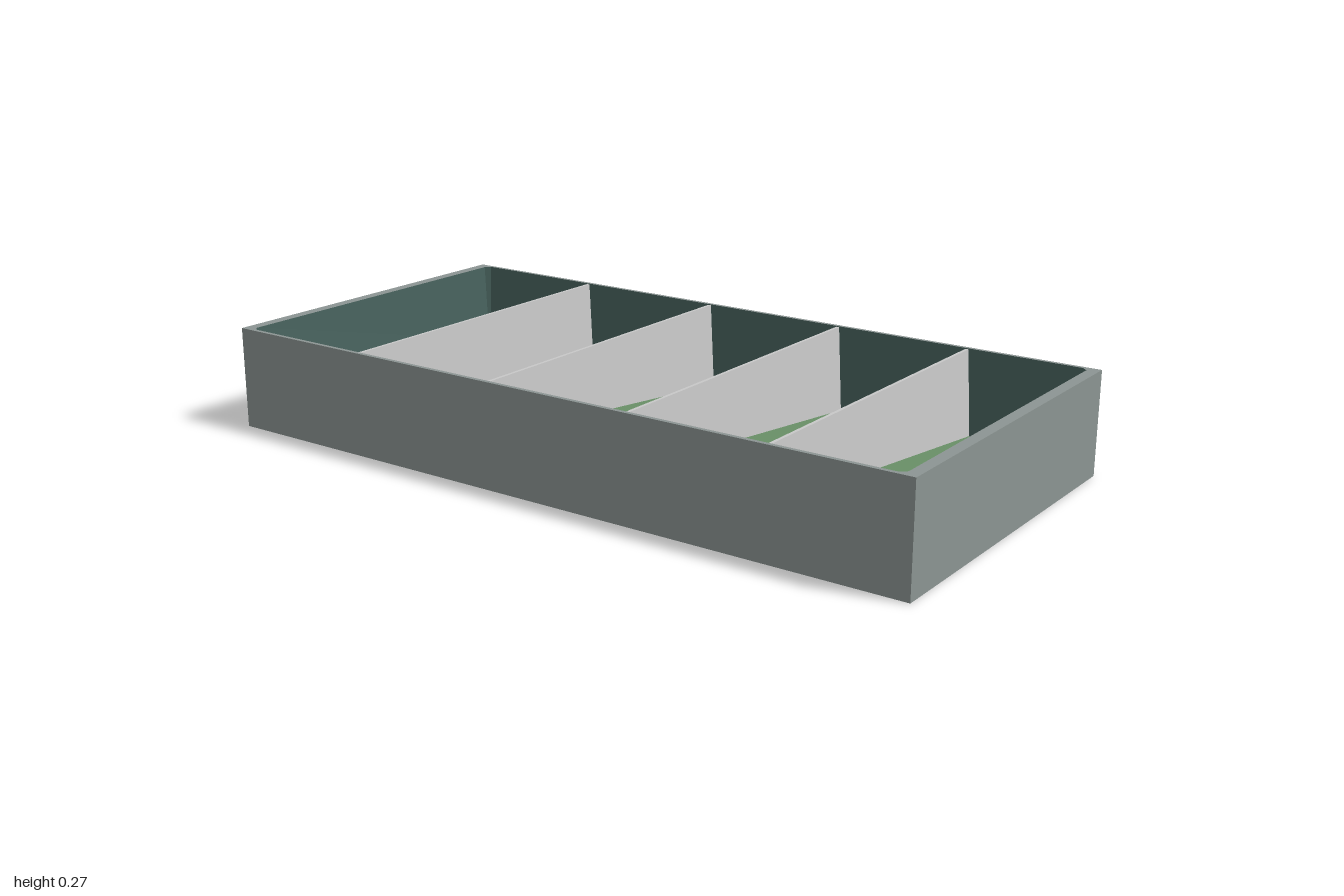
import * as THREE from 'three';

const W = 0.96, L = 2, H = 0.273;          // outer tray
const IX = 0.469, IZ = 0.97, DRAFT = 0.01; // pocket opening and wall taper
const BASE = 0.01;

// The floor slopes down towards +x
const floorY = (x) => 0.09 - 0.098 * x;

// Rectangle loop with small cut corners
function loop(hx, hz, c) {
  return [[hx, hz - c], [hx - c, hz], [-hx + c, hz], [-hx, hz - c],
    [-hx, -hz + c], [-hx + c, -hz], [hx - c, -hz], [hx, -hz + c]];
}

export function createModel() {
  const casingMat = new THREE.MeshStandardMaterial({ color: 0x8c9593 });
  const wallMat = new THREE.MeshStandardMaterial({ color: 0x48635e, side: THREE.DoubleSide });
  const floorMat = new THREE.MeshStandardMaterial({ color: 0x688f66 });
  const dividerMat = new THREE.MeshStandardMaterial({ color: 0xc8c8c8 });
  casingMat.name = 'casing grey';
  wallMat.name = 'lining teal';
  floorMat.name = 'floor green';
  dividerMat.name = 'divider grey';

  const model = new THREE.Group();
  model.name = 'dividedTray';
  const add = (name, geo, mat) => {
    const mesh = new THREE.Mesh(geo, mat);
    mesh.name = name;
    model.add(mesh);
    return mesh;
  };

  const top = loop(IX, IZ, 0.014);
  const bottom = loop(IX - DRAFT, IZ - DRAFT, 0.004);

  // Outer casing: rectangular frame with the pocket opening, plus a base plate
  const frame = new THREE.Shape([[-W, -L], [W, -L], [W, L], [-W, L]]
    .map(([x, z]) => new THREE.Vector2(x / 2, z / 2)));
  frame.holes.push(new THREE.Path(top.map(([x, z]) => new THREE.Vector2(x, z))));
  const frameGeo = new THREE.ExtrudeGeometry(frame, { depth: H - BASE, bevelEnabled: false });
  frameGeo.rotateX(-Math.PI / 2).translate(0, BASE, 0);
  add('casing', frameGeo, casingMat);
  add('base', new THREE.BoxGeometry(W, BASE, L).translate(0, BASE / 2, 0), casingMat);

  // Tapered lining from the rim down to the sloping floor
  const pos = [];
  for (let i = 0; i < top.length; i++) {
    const j = (i + 1) % top.length;
    const at = (k) => [top[k][0], H, top[k][1]];
    const ab = (k) => [bottom[k][0], floorY(bottom[k][0]), bottom[k][1]];
    pos.push(...at(i), ...at(j), ...ab(j), ...at(i), ...ab(j), ...ab(i));
  }
  const lining = new THREE.BufferGeometry();
  lining.setAttribute('position', new THREE.Float32BufferAttribute(pos, 3));
  lining.computeVertexNormals();
  add('lining', lining, wallMat);

  // Sloping floor
  const floor = new THREE.PlaneGeometry(2 * IX - 0.016, 2 * IZ - 0.016).rotateX(-Math.PI / 2);
  const fp = floor.attributes.position;
  for (let i = 0; i < fp.count; i++) fp.setY(i, floorY(fp.getX(i)));
  floor.computeVertexNormals();
  add('floor', floor, floorMat);

  // Four wedge-shaped dividers, thicker towards the floor
  [-0.577, -0.145, 0.268, 0.646].forEach((z, n) => {
    const geo = new THREE.BoxGeometry(2 * IX - 0.002, 1, 1);
    const p = geo.attributes.position;
    for (let i = 0; i < p.count; i++) {
      const x = p.getX(i);
      const y = p.getY(i) > 0 ? H - 0.002 : floorY(x);
      p.setXYZ(i, x, y, Math.sign(p.getZ(i)) * (0.004 + 0.085 * (H - y)));
    }
    geo.computeVertexNormals();
    add('divider' + (n + 1), geo, dividerMat).position.z = z;
  });

  return model;
}
